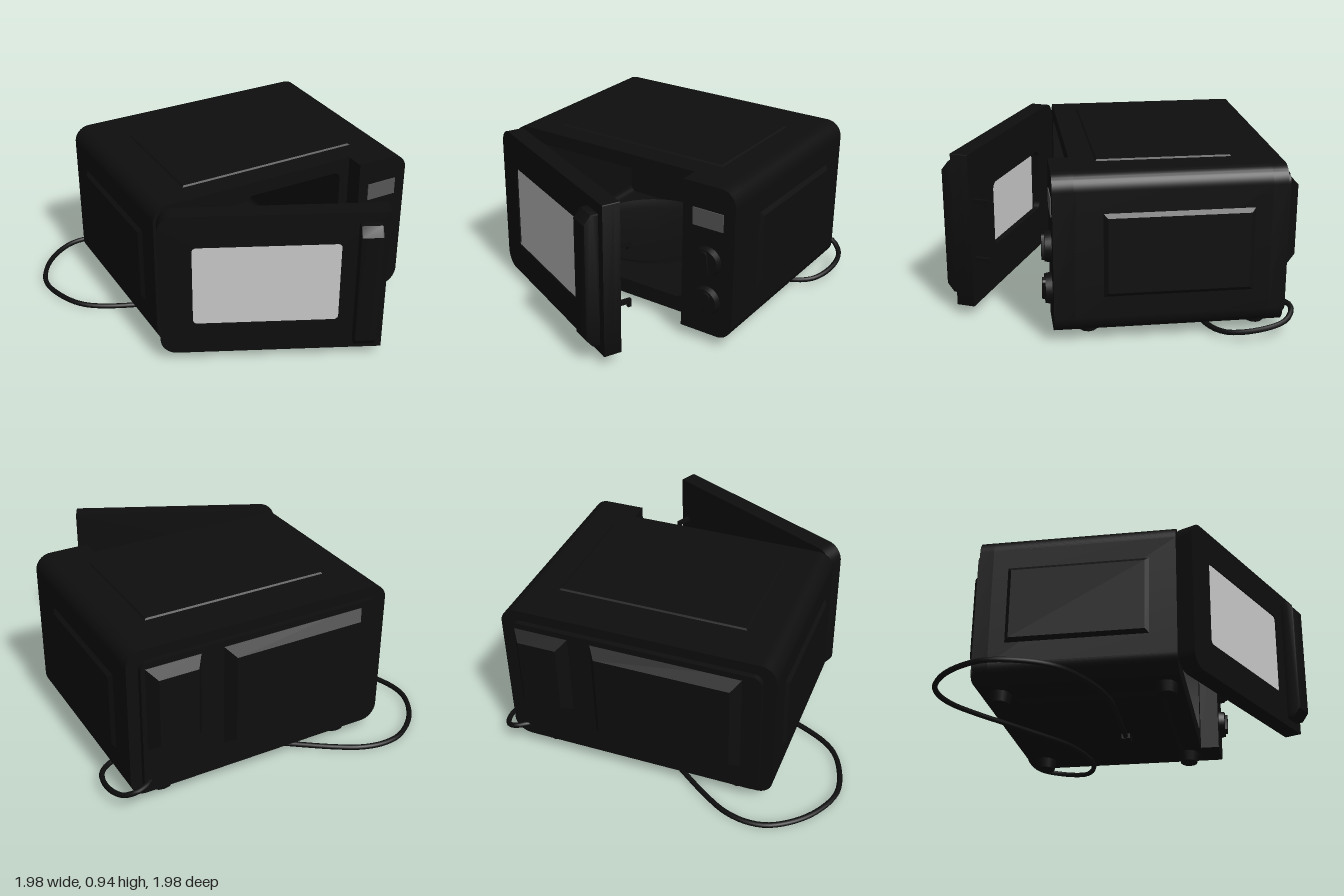
import * as THREE from 'three';
import { toCreasedNormals } from 'three/addons/utils/BufferGeometryUtils.js';

const mat = (color) => new THREE.MeshStandardMaterial({ color });
const black = mat(0x0e0e0e), glass = mat(0xcccccc), screen = mat(0x555555);

function add(parent, name, geo, x = 0, y = 0, z = 0, material = black) {
  const mesh = new THREE.Mesh(geo, material);
  mesh.name = name;
  mesh.position.set(x, y, z);
  parent.add(mesh);
  return mesh;
}

const box = (w, h, d) => new THREE.BoxGeometry(w, h, d);

// Rounded rectangle with separate left and right corner radii
function outline(x0, x1, y0, y1, rl, rr = rl, Type = THREE.Shape) {
  const s = new Type();
  s.moveTo(x0 + rl, y0);
  s.lineTo(x1 - rr, y0);
  if (rr) s.absarc(x1 - rr, y0 + rr, rr, -Math.PI / 2, 0);
  s.lineTo(x1, y1 - rr);
  if (rr) s.absarc(x1 - rr, y1 - rr, rr, 0, Math.PI / 2);
  s.lineTo(x0 + rl, y1);
  if (rl) s.absarc(x0 + rl, y1 - rl, rl, Math.PI / 2, Math.PI);
  s.lineTo(x0, y0 + rl);
  if (rl) s.absarc(x0 + rl, y0 + rl, rl, Math.PI, Math.PI * 1.5);
  return s;
}

// Extrude an outline from z0 to z1, with an optional hole and edge bevel
function slab(shape, z0, z1, hole, bevel = 0) {
  if (hole) shape.holes.push(hole);
  const geo = new THREE.ExtrudeGeometry(shape, {
    depth: z1 - z0 - 2 * bevel, curveSegments: 8, bevelEnabled: bevel > 0,
    bevelSize: bevel, bevelThickness: bevel, bevelOffset: -bevel, bevelSegments: 2,
  });
  geo.translate(0, 0, z0 + bevel);
  return toCreasedNormals(geo, 0.5);
}

// Raised panel: a box whose +z face is drawn in by an inset
function raised(w, h, d, inset) {
  const geo = box(w, h, d);
  const p = geo.attributes.position;
  for (let i = 0; i < p.count; i++) {
    if (p.getZ(i) > 0) {
      p.setX(i, p.getX(i) - Math.sign(p.getX(i)) * inset);
      p.setY(i, p.getY(i) - Math.sign(p.getY(i)) * inset);
    }
  }
  geo.computeVertexNormals();
  return geo;
}

function buildCase(root) {
  const g = new THREE.Group();
  g.name = 'case';
  root.add(g);
  // Shell with the cooking chamber cut out, closed at the back
  add(g, 'shell', slab(outline(-0.65, 0.895, 0.06, 0.93, 0.09), -0.7, 0.32,
    outline(-0.55, 0.52, 0.15, 0.85, 0.04, 0.04, THREE.Path)));
  add(g, 'backWall', slab(outline(-0.65, 0.895, 0.06, 0.93, 0.09), -0.78, -0.7));
  add(g, 'backPlate', slab(outline(-0.58, 0.83, 0.09, 0.87, 0.05), -0.81, -0.77));

  // Raised panels on the back, sides, top and bottom
  const back = [add(g, 'backPanel', raised(0.87, 0.62, 0.08, 0.06), -0.055, 0.54, -0.83),
    add(g, 'backVent', raised(0.34, 0.51, 0.08, 0.06), 0.65, 0.595, -0.83)];
  back.forEach((m) => { m.rotation.y = Math.PI; });
  for (const s of [-1, 1]) {
    const side = add(g, 'sidePanel', raised(0.84, 0.51, 0.04, 0.05), 0.1225 + s * 0.77, 0.495, -0.22);
    side.rotation.y = s * Math.PI / 2;
  }
  const top = add(g, 'topPanel', raised(1.1, 0.74, 0.02, 0.02), 0.13, 0.928, -0.17);
  top.rotation.x = -Math.PI / 2;
  const bottom = add(g, 'bottomPanel', raised(0.98, 0.84, 0.04, 0.03), 0.12, 0.06, -0.2);
  bottom.rotation.x = Math.PI / 2;

  // Feet
  for (const x of [-0.43, 0.68]) {
    for (const z of [0.235, -0.68]) {
      add(g, 'foot', new THREE.CylinderGeometry(0.08, 0.065, 0.07, 12), x, 0.037, z).scale.z = 0.8;
    }
  }

  // Turntable
  add(g, 'turntableHub', new THREE.CylinderGeometry(0.08, 0.08, 0.04, 20), -0.015, 0.165, -0.19);
  const plate = [[0, 0], [0.36, 0], [0.43, 0.03], [0.43, 0.04], [0.36, 0.012], [0, 0.012]]
    .map(([r, y]) => new THREE.Vector2(r, y));
  add(g, 'turntable', toCreasedNormals(new THREE.LatheGeometry(plate, 40), 0.4), -0.015, 0.18, -0.19);
}

function buildControls(root) {
  const g = new THREE.Group();
  g.name = 'controlPanel';
  root.add(g);
  add(g, 'controlBlock', slab(outline(0.58, 0.895, 0.06, 0.93, 0, 0.09), 0.31, 0.43));
  add(g, 'display', box(0.185, 0.1, 0.01), 0.735, 0.74, 0.43, screen);
  // Knobs, each with a tilted grip
  [[0.5, 0.1], [0.265, -0.4]].forEach(([y, tilt]) => {
    const knob = new THREE.Group();
    knob.name = 'knob';
    knob.position.set(0.737, y, 0.43);
    knob.rotation.z = tilt;
    g.add(knob);
    add(knob, 'knobDisc', new THREE.CylinderGeometry(0.078, 0.085, 0.035, 32), 0, 0, 0.0175).rotation.x = Math.PI / 2;
    add(knob, 'knobGrip', slab(outline(-0.025, 0.025, -0.07, 0.07, 0.02), 0.03, 0.05));
  });
}

function buildDoor(root) {
  // Hinged group: x runs along the door, +z is its outer face
  const g = new THREE.Group();
  g.name = 'door';
  g.position.set(-0.63, 0, 0.32);
  g.rotation.y = -0.441;
  root.add(g);
  const L = 1.225;
  add(g, 'doorFront', slab(outline(0, L, 0.06, 0.93, 0.09, 0.004), 0.035, 0.1,
    outline(0.18, 0.977, 0.25, 0.74, 0.025, 0.025, THREE.Path)));
  add(g, 'doorInner', slab(outline(0, L, 0.06, 0.93, 0.09, 0.004), 0, 0.035,
    outline(0.24, 0.917, 0.31, 0.68, 0.04, 0.04, THREE.Path)));
  add(g, 'window', box(0.81, 0.5, 0.02), 0.5785, 0.495, 0.083, glass);

  // Handle: profile across the door's thickness, drawn along its height
  const profile = new THREE.Shape([[0.09, 0.11], [0.14, 0.11], [0.18, 0.16], [0.18, 0.82],
    [0.14, 0.87], [0.09, 0.87]].map(([z, y]) => new THREE.Vector2(z, y)));
  const handle = add(g, 'handle', slab(profile, -0.06, 0.06, null, 0.008), 1.12);
  handle.rotation.y = -Math.PI / 2;

  // Latch hooks
  for (const y of [0.325, 0.66]) {
    add(g, 'latchArm', box(0.02, 0.025, 0.09), 1.175, y, -0.04);
    add(g, 'latchTip', box(0.02, 0.045, 0.02), 1.175, y - 0.01, -0.075);
  }
}

function buildCord(root) {
  const path = [[0.78, 0.15, -0.79], [0.86, 0.14, -0.835], [0.94, 0.1, -0.79], [0.975, 0.07, -0.65],
    [0.92, 0.04, -0.47], [0.72, 0.03, -0.38], [0.35, 0.025, -0.44], [-0.02, 0.02, -0.67],
    [-0.3, 0.02, -0.87], [-0.44, 0.02, -0.95], [-0.57, 0.02, -0.98], [-0.7, 0.02, -0.96],
    [-0.87, 0.02, -0.83], [-0.97, 0.02, -0.63], [-0.95, 0.02, -0.46], [-0.86, 0.02, -0.29],
    [-0.67, 0.02, -0.17], [-0.4, 0.02, -0.09], [-0.05, 0.02, -0.085], [0.2, 0.02, -0.09]];
  const curve = new THREE.CatmullRomCurve3(path.map((p) => new THREE.Vector3(...p)));
  add(root, 'powerCord', new THREE.TubeGeometry(curve, 120, 0.015, 8));
  add(root, 'plug', box(0.09, 0.03, 0.05), 0.24, 0.02, -0.09);
}

export function createModel() {
  const root = new THREE.Group();
  root.name = 'microwaveOven';
  buildCase(root);
  buildControls(root);
  buildDoor(root);
  buildCord(root);
  return root;
}
